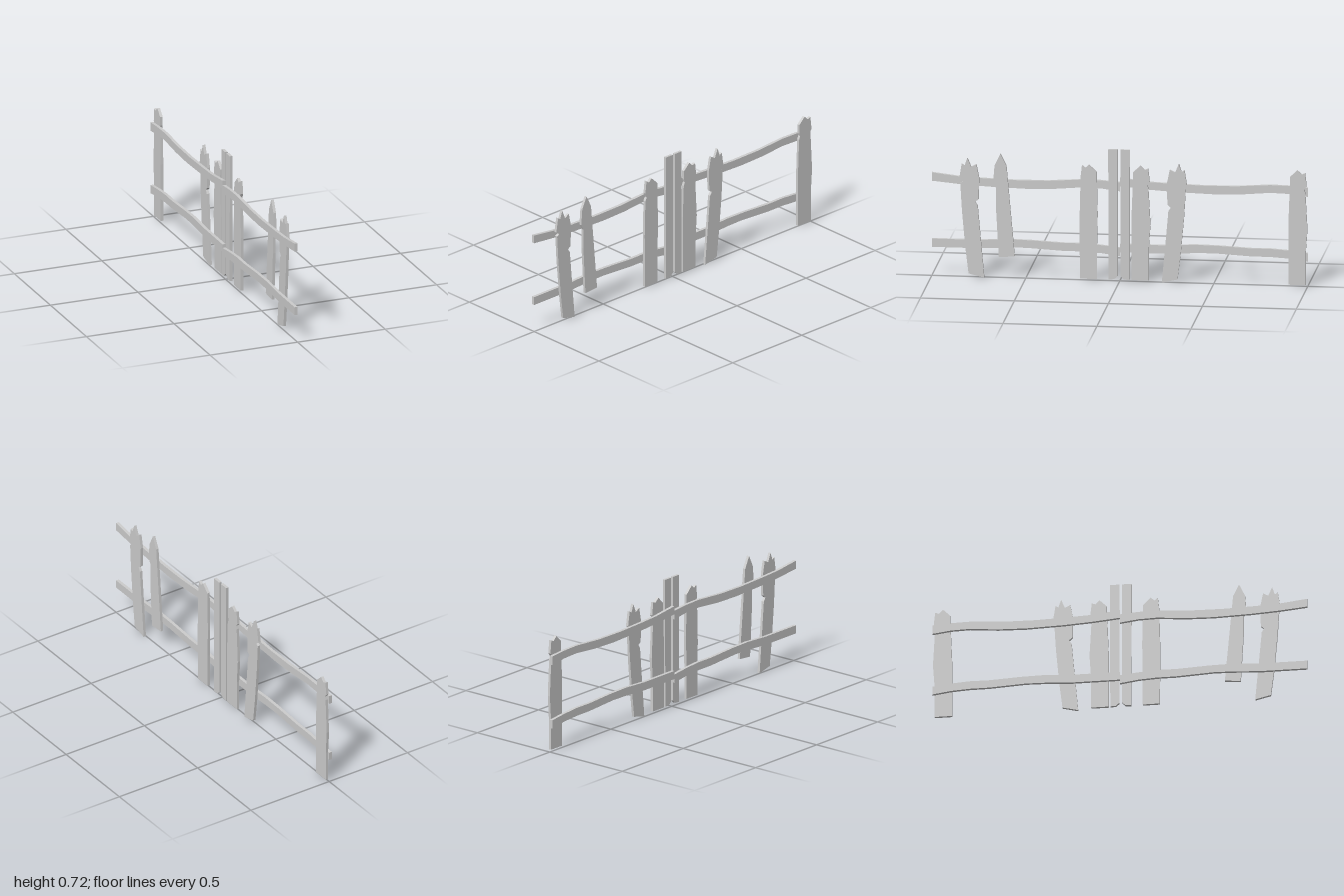
import * as THREE from 'three';

const material = new THREE.MeshStandardMaterial({ color: 0xcccccc, flatShading: true });

// Flat board cut from a [z, y] outline, filling x from x0 to x0 + thickness
function board(name, outline, x0, thickness, place = (z) => z) {
  const points = outline.map(([z, y]) => new THREE.Vector2(place(z), y));
  const geometry = new THREE.ExtrudeGeometry(new THREE.Shape(points), {
    depth: thickness, bevelEnabled: false,
  });
  geometry.rotateY(-Math.PI / 2);
  geometry.translate(x0 + thickness, 0, 0);
  const mesh = new THREE.Mesh(geometry, material);
  mesh.name = name;
  return mesh;
}

// Leaning picket with splintered top and notched sides
const splintered = [
  [0.72, 0], [0.74, 0.22], [0.755, 0.39], [0.768, 0.41], [0.75, 0.425],
  [0.747, 0.54], [0.762, 0.615], [0.79, 0.6], [0.81, 0.648], [0.825, 0.605],
  [0.84, 0.615], [0.853, 0.535], [0.832, 0.52], [0.847, 0.51], [0.838, 0.36],
  [0.82, 0.16], [0.803, 0.02],
];
// Short pointed picket that has slipped upward
const pointed = [
  [0.558, 0.12], [0.577, 0.33], [0.602, 0.61], [0.634, 0.675], [0.665, 0.61],
  [0.672, 0.52], [0.657, 0.49], [0.657, 0.38], [0.642, 0.113],
];
// Upright picket with a chipped top
const chipped = [
  [0.21, 0.01], [0.12, 0.01], [0.12, 0.2], [0.117, 0.36], [0.122, 0.59],
  [0.163, 0.63], [0.182, 0.612], [0.2, 0.625], [0.208, 0.555], [0.198, 0.53],
  [0.208, 0.51], [0.213, 0.31],
];
// Tall plain picket with a worn bottom corner
const gatePost = [
  [0.058, 0.01], [0.028, 0.012], [0.01, 0.028], [0.01, 0.717], [0.06, 0.717],
];
// Picket with its chipped side toward the back
const worn = [
  [-0.063, 0.01], [-0.155, 0.01], [-0.155, 0.18], [-0.164, 0.31], [-0.153, 0.51],
  [-0.147, 0.53], [-0.16, 0.545], [-0.152, 0.617], [-0.133, 0.61], [-0.11, 0.632],
  [-0.072, 0.595], [-0.073, 0.545], [-0.078, 0.53], [-0.07, 0.51], [-0.063, 0.33],
];

// Warped rails: upper edge, then lower edge
const upperRail = [
  [1, 0.56], [0.85, 0.542], [0.72, 0.536], [0.55, 0.531], [0.38, 0.533], [0.2, 0.545],
  [0.1, 0.543], [0, 0.535],
  [0, 0.487], [0.1, 0.5], [0.2, 0.503], [0.35, 0.49], [0.5, 0.486], [0.7, 0.492],
  [0.85, 0.501], [1, 0.515],
];
const lowerRail = [
  [1, 0.2], [0.75, 0.2], [0.6, 0.208], [0.48, 0.206], [0.3, 0.197], [0.2, 0.198],
  [0.1, 0.191], [0, 0.18],
  [0, 0.134], [0.1, 0.148], [0.2, 0.154], [0.3, 0.154], [0.5, 0.165], [0.6, 0.163],
  [0.75, 0.155], [1, 0.155],
];

export function createModel() {
  const fence = new THREE.Group();
  fence.name = 'brokenFence';

  // Pickets, from front to back
  const pickets = [
    ['splinteredPicketFront', splintered],
    ['pointedPicket', pointed],
    ['chippedPicket', chipped],
    ['tallPicketFront', gatePost],
    ['tallPicketBack', gatePost, (z) => 0.005 - z],
    ['wornPicketMiddle', worn],
    ['splinteredPicketBack', splintered, (z) => 0.495 - z],
    ['wornPicketEnd', worn, (z) => z - 0.835],
  ];
  for (const [name, outline, place] of pickets) {
    fence.add(board(name, outline, 0, 0.015, place));
  }

  // The same pair of rails spans each half
  for (const [half, shift] of [['Front', 0], ['Back', -1]]) {
    fence.add(board('upperRail' + half, upperRail, -0.017, 0.017, (z) => z + shift));
    fence.add(board('lowerRail' + half, lowerRail, -0.017, 0.017, (z) => z + shift));
  }
  return fence;
}
